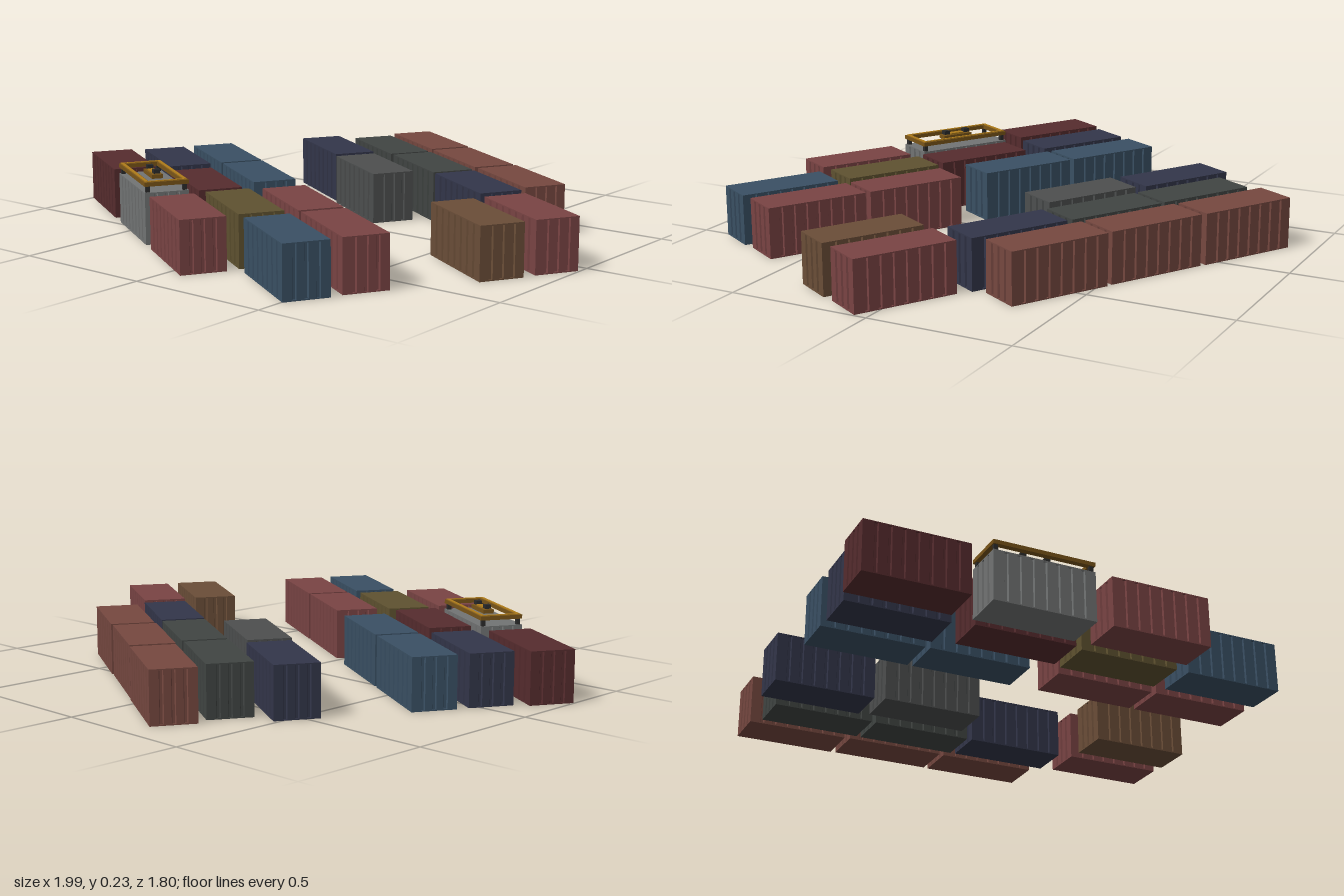
import * as THREE from 'three';

const L = 0.362, W = 0.152, H = 0.178;
const YAW = -Math.PI / 6;

const COLORS = {
  red: 0x7a4444, rust: 0x764840, dark: 0x414543, navy: 0x33364a, gray: 0x4d4f4f,
  brown: 0x6b4e38, blue: 0x3a5064, maroon: 0x562c2e, olive: 0x5f5230, light: 0x727474,
};

// colour, x and z of every container's centre
const LAYOUT = [
  ['rust', -0.147, -0.749], ['rust', 0.182, -0.556], ['rust', 0.513, -0.369],
  ['dark', -0.209, -0.572], ['dark', 0.12, -0.385],
  ['navy', -0.366, -0.436], ['gray', -0.027, -0.227], ['navy', 0.449, -0.193],
  ['red', 0.8, 0.021], ['brown', 0.709, 0.195],
  ['blue', -0.591, -0.048], ['blue', -0.262, 0.142], ['navy', -0.684, 0.123],
  ['maroon', -0.802, 0.286], ['maroon', -0.316, 0.358], ['light', -0.425, 0.503],
  ['red', 0.142, 0.38], ['red', 0.473, 0.57], ['olive', 0.03, 0.54],
  ['red', -0.059, 0.714], ['blue', 0.385, 0.743],
];

const material = (color) => new THREE.MeshStandardMaterial({ color, flatShading: true });

function addMesh(parent, name, geometry, mat, x, y, z) {
  const mesh = new THREE.Mesh(geometry, mat);
  mesh.name = name;
  mesh.position.set(x, y, z);
  parent.add(mesh);
  return mesh;
}

// Outline of the corrugated walls: grooves cut into all four sides
function wallOutline() {
  const points = [];
  const depth = 0.006;
  const corners = [[-L / 2, -W / 2], [L / 2, -W / 2], [L / 2, W / 2], [-L / 2, W / 2]]
    .map((c) => new THREE.Vector2(...c));
  corners.forEach((a, i) => {
    const b = corners[(i + 1) % 4];
    const dir = b.clone().sub(a).normalize();
    const inward = new THREE.Vector2(-dir.y, dir.x);
    const grooves = i % 2 ? 3 : 7;
    const at = (along, into) =>
      a.clone().addScaledVector(dir, along).addScaledVector(inward, into);
    points.push(a);
    for (let g = 1; g <= grooves; g++) {
      const s = (a.distanceTo(b) * g) / (grooves + 1);
      points.push(at(s - 0.007, 0), at(s - 0.004, depth), at(s + 0.004, depth), at(s + 0.007, 0));
    }
  });
  return new THREE.Shape(points);
}

// Lifting frame that stands on one container's roof
function createSpreader() {
  const group = new THREE.Group();
  group.name = 'liftingFrame';
  const yellow = material(0xb07c1a), shade = material(0x7a5518), black = material(0x2b2b2b);
  const beam = 0.02, y = 0.206;
  for (const s of [-1, 1]) {
    // perimeter beams with a raised cap strip
    addMesh(group, 'sideBeam', new THREE.BoxGeometry(L, 0.014, beam), shade, 0, y, s * (W - beam) / 2);
    addMesh(group, 'endBeam', new THREE.BoxGeometry(beam, 0.014, W - 2 * beam), shade, s * (L - beam) / 2, y, 0);
    addMesh(group, 'sideCap', new THREE.BoxGeometry(L - 0.01, 0.003, 0.01), yellow, 0, y + 0.0085, s * (W - beam) / 2);
    addMesh(group, 'endCap', new THREE.BoxGeometry(0.01, 0.003, W - 0.03), yellow, s * (L - beam) / 2, y + 0.0085, 0);
    // corner locks
    for (const t of [-1, 1]) {
      addMesh(group, 'cornerLock', new THREE.BoxGeometry(0.014, 0.024, 0.014), black,
        s * (L / 2 - 0.012), 0.189, t * (W / 2 - 0.012));
    }
    // lifting lugs on the head block
    addMesh(group, 'liftingLug', new THREE.BoxGeometry(0.022, 0.014, 0.022), black, s * 0.043, 0.222, 0);
  }
  addMesh(group, 'headBlock', new THREE.BoxGeometry(0.12, 0.014, 0.038), shade, 0, y, 0);
  addMesh(group, 'headBlockCap', new THREE.BoxGeometry(0.06, 0.005, 0.024), yellow, 0, y + 0.0095, 0);
  return group;
}

export function createModel() {
  const model = new THREE.Group();
  model.name = 'containerYard';

  const plate = 0.004;
  const walls = new THREE.ExtrudeGeometry(wallOutline(), { depth: H - 2 * plate, bevelEnabled: false });
  walls.rotateX(-Math.PI / 2);
  const slab = new THREE.BoxGeometry(L, plate, W);
  const materials = Object.fromEntries(Object.entries(COLORS).map(([k, c]) => [k, material(c)]));

  for (const [color, x, z] of LAYOUT) {
    const container = new THREE.Group();
    container.name = 'container';
    container.position.set(x, 0, z);
    container.rotation.y = YAW;
    addMesh(container, 'corrugatedWalls', walls, materials[color], 0, plate, 0);
    addMesh(container, 'floor', slab, materials[color], 0, plate / 2, 0);
    addMesh(container, 'roof', slab, materials[color], 0, H - plate / 2, 0);
    if (color === 'light') container.add(createSpreader());
    model.add(container);
  }
  return model;
}
